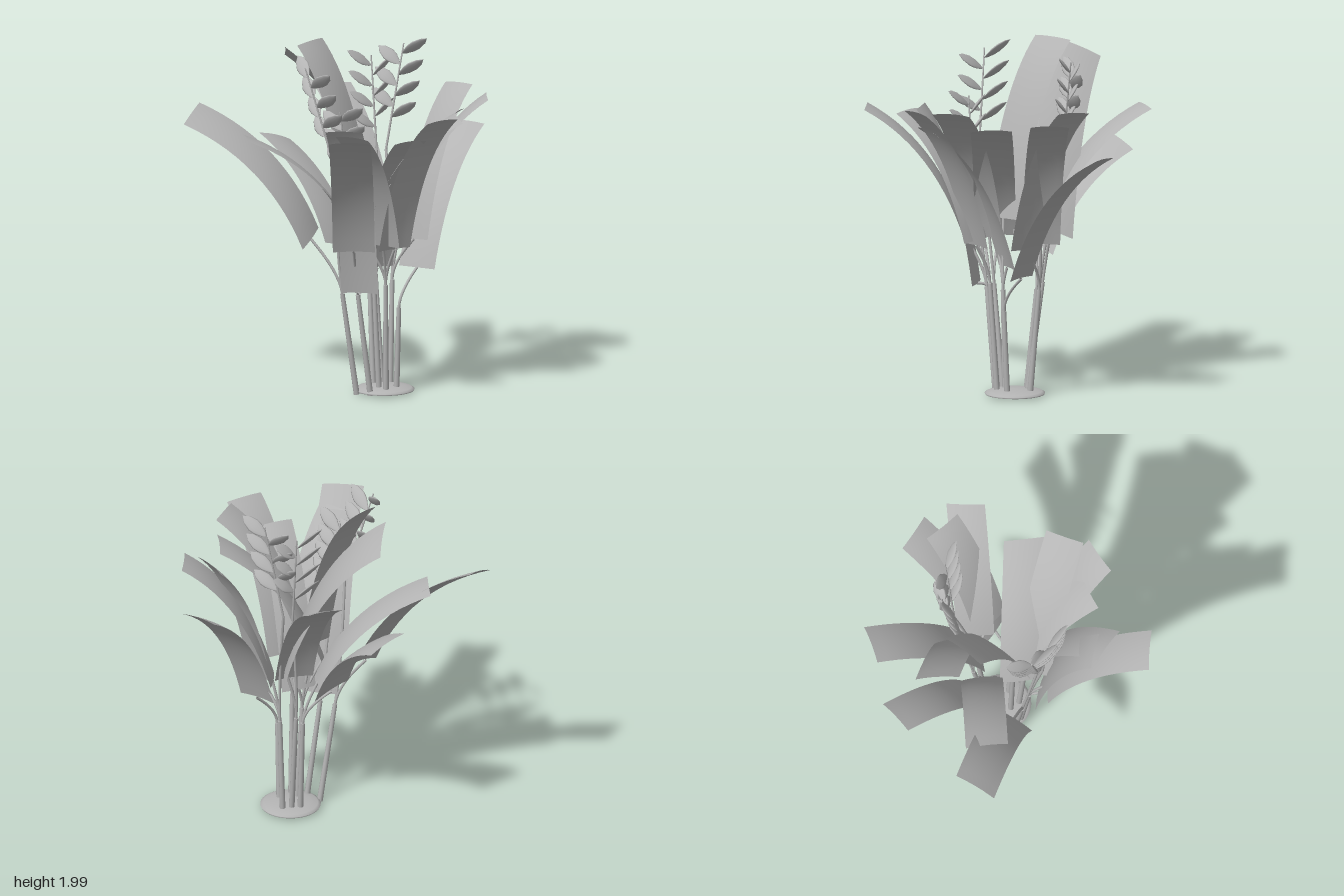
import * as THREE from 'three';

const V = (x, y, z) => new THREE.Vector3(x, y, z);
const gray = new THREE.MeshStandardMaterial({ color: 0xb4b4b4, side: THREE.DoubleSide });
gray.name = 'plainGray';

// Leaves: base centre, tip centre, half-width vector across the blade
const LEAVES = {
  farLeft: [[-0.19, 0.91, -0.01], [-0.82, 1.6, -0.3], [0.065, 0.04, -0.1]],
  left: [[0.09, 0.87, -0.16], [-0.535, 1.47, -0.2], [0, 0, -0.12]],
  backLeft: [[0.02, 0.82, -0.2], [-0.265, 1.365, -0.69], [0.1, -0.035, -0.06]],
  back: [[0.23, 0.89, -0.16], [0.09, 1.63, -0.79], [0.11, 0, -0.025]],
  tall: [[0.1, 1.0, 0.02], [-0.14, 1.99, -0.29], [0.09, 0, -0.09]],
  tallBack: [[0.28, 0.96, -0.23], [-0.255, 1.91, -0.45], [0.025, -0.05, -0.122]],
  lowRight: [[0.43, 0.71, -0.045], [0.8, 1.45, -0.465], [0.088, 0, 0.073]],
  highRight: [[0.42, 0.87, -0.075], [0.725, 1.71, -0.31], [0.06, 0.01, 0.094]],
  right: [[0.355, 0.89, -0.165], [0.86, 1.66, -0.16], [-0.016, 0, 0.108]],
  rightFront: [[0.05, 0.89, 0.06], [0.635, 1.6, 0.15], [0, 0, 0.118]],
  frontRightHigh: [[0.1, 0.89, 0.13], [0.59, 1.69, 0.375], [-0.05, 0, 0.1]],
  frontRight: [[0.255, 0.87, 0.19], [0.46, 1.68, 0.56], [-0.1, 0, 0.052]],
  front: [[0.015, 0.87, 0.22], [-0.12, 1.62, 0.78], [0.117, 0, 0.022]],
  frontInner: [[0.19, 0.89, 0.19], [-0.06, 1.6, 0.55], [0.08, 0, 0.072]],
  frontLeft: [[0.06, 0.62, 0.17], [-0.09, 1.62, 0.47], [0.1, 0, 0.035]],
  frontMiddle: [[0.19, 0.73, 0.01], [0.29, 1.55, 0.485], [0.098, 0, -0.035]],
};

// Sprays: stalk foot, stalk tip, horizontal reach of the petals on each side
const SPRAYS = {
  leftSpray: [[-0.08, 1.35, 0.14], [-0.24, 1.92, 0.09], [-0.03, -0.155], [0.08, 0.15]],
  leftSpraySmall: [[0.0, 1.15, 0.18], [-0.06, 1.68, 0.2], [0.1, 0.13], [-0.09, -0.1]],
  rightSpray: [[0.25, 1.3, -0.3], [0.23, 1.88, -0.37], [-0.15, 0.04], [0.12, -0.035]],
  rightSprayTall: [[0.3, 1.35, -0.29], [0.41, 1.95, -0.33], [0.13, 0.075], [-0.11, -0.075]],
};

// Stems: root, fork and the leaves or sprays each one carries
const STEMS = [
  [[0.07, 0.005, 0.02], [-0.02, 0.6, 0.06], ['farLeft', 'leftSpray']],
  [[0.14, 0.005, 0.07], [0.06, 0.6, 0.11], ['front', 'frontLeft', 'leftSpraySmall']],
  [[0.19, 0.005, -0.1], [0.18, 0.6, -0.16], ['backLeft', 'left']],
  [[0.23, 0.005, 0.07], [0.22, 0.65, 0.11], ['frontInner', 'frontRight', 'frontRightHigh']],
  [[0.3, 0.005, 0.02], [0.31, 0.5, 0.04], ['lowRight']],
  [[0.29, 0.005, -0.11], [0.31, 0.62, -0.16], ['highRight', 'right', 'rightSprayTall']],
  [[0.24, 0.005, -0.1], [0.22, 0.65, -0.19], ['back', 'tallBack', 'rightSpray']],
  [[0.2, 0.005, 0.02], [0.17, 0.6, 0.03], ['tall', 'frontMiddle', 'rightFront']],
];

function add(parent, name, geometry) {
  const mesh = new THREE.Mesh(geometry, gray);
  mesh.name = name;
  parent.add(mesh);
  return mesh;
}

// Arched rectangular blade, slightly crowned across its width
function bladeGeometry(base, tip, half) {
  const p0 = V(...base), p2 = V(...tip), w = V(...half);
  const d = p2.clone().sub(p0);
  const mid = p0.clone().add(V(d.x * 0.3, d.y * 0.72, d.z * 0.3));
  const curve = new THREE.QuadraticBezierCurve3(p0, mid, p2);
  const geo = new THREE.PlaneGeometry(2, 1, 6, 14);
  const pos = geo.attributes.position;
  for (let i = 0; i < pos.count; i++) {
    const s = pos.getX(i), t = pos.getY(i) + 0.5;
    const p = curve.getPoint(t);
    const n = w.clone().cross(curve.getTangent(t)).normalize();
    if (n.y < 0) n.negate();
    p.addScaledVector(w, s).addScaledVector(n, 0.01 * (1 - s * s));
    pos.setXYZ(i, p.x, p.y, p.z);
  }
  geo.computeVertexNormals();
  return geo;
}

// Tapered rod between two points
function rod(parent, name, a, b, r0, r1) {
  const d = b.clone().sub(a);
  const mesh = add(parent, name, new THREE.CylinderGeometry(r1, r0, d.length(), 10));
  mesh.position.copy(a).addScaledVector(d, 0.5);
  mesh.quaternion.setFromUnitVectors(V(0, 1, 0), d.normalize());
}

// Pointed, flattened petal growing along +y
const petalGeometry = new THREE.LatheGeometry(
  [[0, 0], [0.016, 0.12], [0.032, 0.35], [0.036, 0.55], [0.024, 0.82], [0, 1]]
    .map(([r, y]) => new THREE.Vector2(r, y)), 12);

function spray(foot, tip, sideA, sideB) {
  const g = new THREE.Group();
  const a = V(...foot), b = V(...tip);
  rod(g, 'stalk', a, b, 0.007, 0.004);
  for (let i = 0; i < 7; i++) {
    const t = 0.3 + 0.1 * i;
    const [x, z] = i % 2 ? sideB : sideA;
    const dir = V(x, 0.1, z);
    const length = dir.length();
    dir.normalize();
    const across = V(-z, 0, x).normalize();
    const lift = across.clone().cross(dir).normalize();
    const wide = across.add(lift).normalize();
    const petal = add(g, 'petal', petalGeometry);
    petal.quaternion.setFromRotationMatrix(
      new THREE.Matrix4().makeBasis(wide, dir, wide.clone().cross(dir)));
    petal.position.copy(a).lerp(b, t);
    petal.scale.set(1.1, length, 0.28);
  }
  return g;
}

export function createModel() {
  const model = new THREE.Group();
  model.name = 'foliagePlant';

  // Shallow hollow base dome
  const base = add(model, 'baseDome', new THREE.LatheGeometry(
    [[0.168, 0.012], [0.172, 0.02], [0.155, 0.029], [0.11, 0.038], [0.05, 0.044], [0, 0.045]]
      .map(([r, y]) => new THREE.Vector2(r, y)), 36));
  base.position.set(0.24, 0, -0.03);

  // Leaves
  for (const [name, spec] of Object.entries(LEAVES)) add(model, name + 'Leaf', bladeGeometry(...spec));

  // Petal sprays
  for (const [name, spec] of Object.entries(SPRAYS)) {
    const g = spray(...spec);
    g.name = name;
    model.add(g);
  }

  // Stems and their curved branches
  for (const [root, fork, ends] of STEMS) {
    const a = V(...root), b = V(...fork);
    rod(model, 'stem', a, b, 0.017, 0.013);
    const up = b.clone().sub(a).normalize();
    for (const end of ends) {
      const c = V(...(LEAVES[end] || SPRAYS[end])[0]);
      const reach = b.distanceTo(c);
      const curve = new THREE.QuadraticBezierCurve3(
        b, b.clone().addScaledVector(up, reach * 0.35), c);
      add(model, 'branch', new THREE.TubeGeometry(curve, 10, 0.008, 8));
    }
  }
  return model;
}
